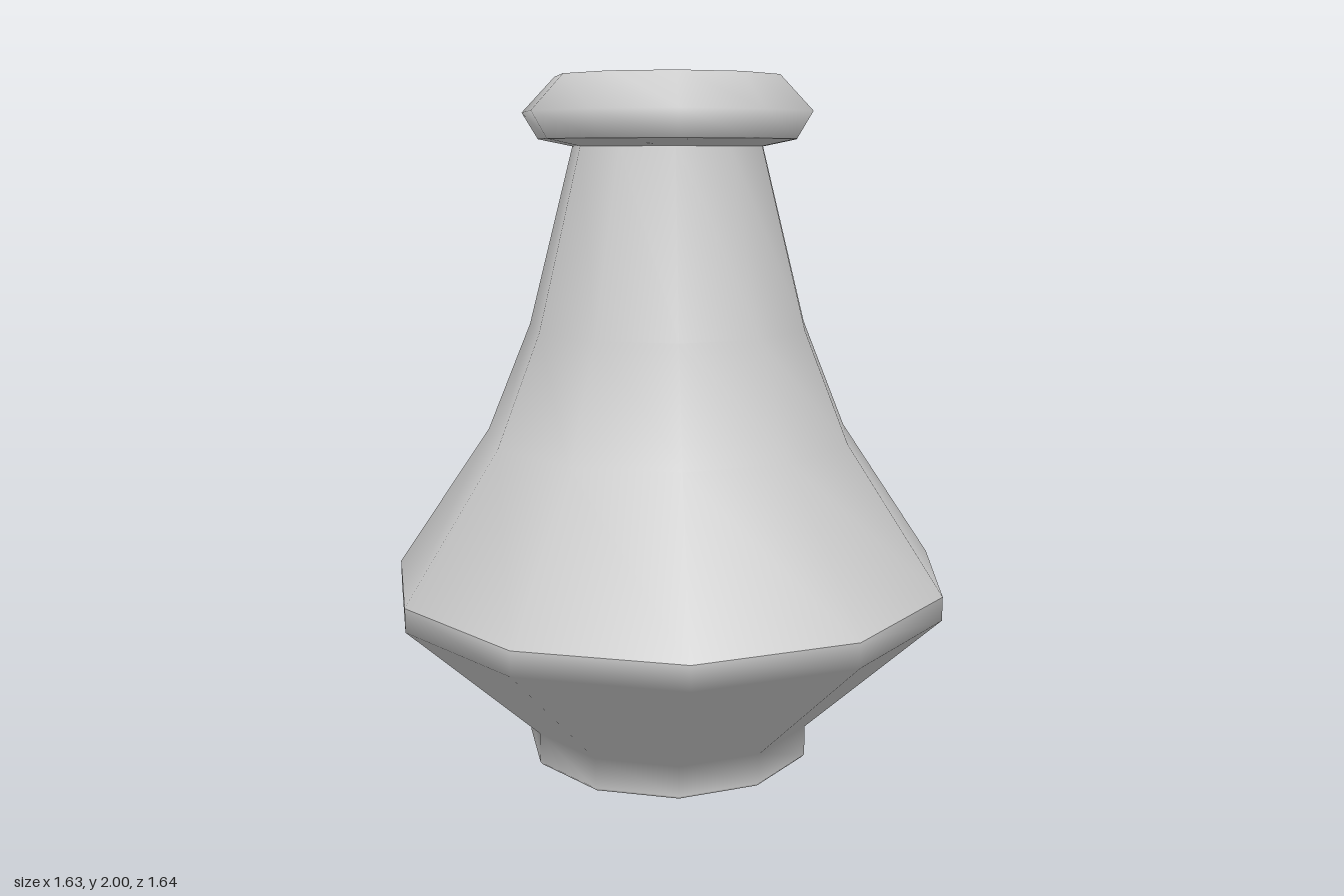
import * as THREE from 'three';
import { mergeVertices } from 'three/addons/utils/BufferGeometryUtils.js';

const SIDES = 11;

// Turn a [radius, height] profile into an eleven-sided surface with a corner at +x.
// Profiles run upwards on outer walls and downwards on inner walls.
function turned(name, profile, flat = false) {
  const points = profile.map(([r, y]) => new THREE.Vector2(r, y));
  let geometry = new THREE.LatheGeometry(points, SIDES, Math.PI / 2);
  // Weld the seam and shade with area-weighted normals
  geometry.deleteAttribute('normal');
  geometry.deleteAttribute('uv');
  geometry = mergeVertices(geometry, 1e-4);
  geometry.computeVertexNormals();
  const material = new THREE.MeshStandardMaterial({
    color: 0xcccccc, flatShading: flat, side: THREE.DoubleSide,
  });
  const mesh = new THREE.Mesh(geometry, material);
  mesh.name = name;
  return mesh;
}

export function createModel() {
  const vase = new THREE.Group();
  vase.name = 'vase';

  // Closed underside
  vase.add(turned('base', [[0, 0], [0.425, 0]], true));

  // Foot, flared underside and the narrow belly band
  vase.add(turned('footAndBelly', [
    [0.425, 0], [0.434, 0.01], [0.434, 0.1], [0.83, 0.48], [0.83, 0.55],
  ]));

  // Shoulder sweeping up into the neck
  vase.add(turned('shoulderAndNeck', [
    [0.83, 0.55], [0.545, 0.97], [0.413, 1.29], [0.28, 1.805],
  ]));

  // Collar: underside, outer bevels, top lip
  vase.add(turned('collarUnderside', [[0.28, 1.805], [0.38, 1.825]]));
  vase.add(turned('collar', [[0.38, 1.825], [0.426, 1.9], [0.329, 2]]));
  vase.add(turned('lip', [[0.329, 2], [0.27, 1.965]]));

  // Hollow interior
  vase.add(turned('innerWall', [
    [0.27, 1.965], [0.27, 1.79], [0.395, 1.29], [0.525, 0.97],
    [0.8, 0.55], [0.8, 0.49], [0.41, 0.1],
  ], true));
  vase.add(turned('innerFloor', [[0.41, 0.1], [0, 0.1]], true));

  // An odd number of sides is wider towards its corner, so recentre it
  vase.children.forEach((part) => { part.position.x = -0.017; });
  return vase;
}
